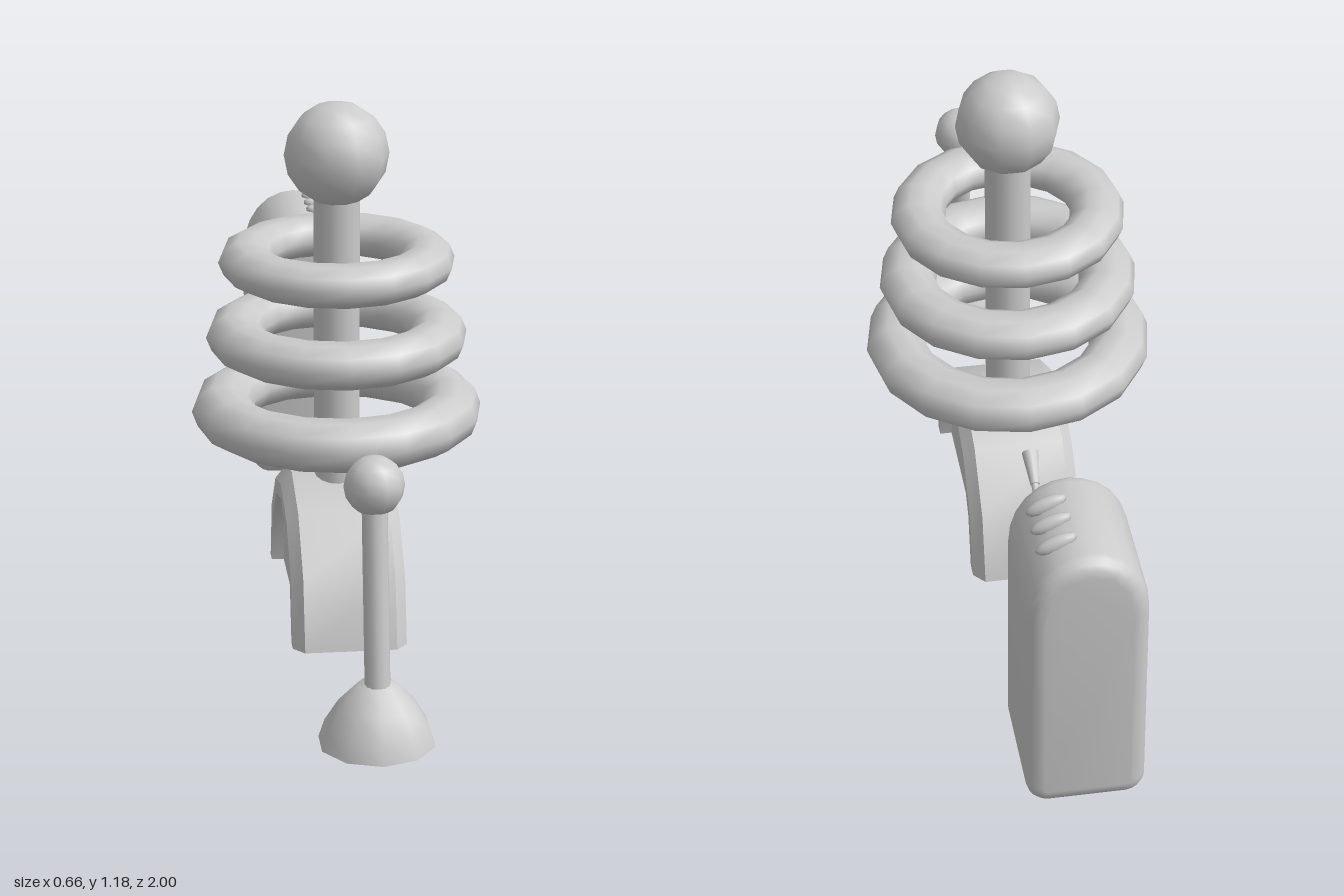
import * as THREE from 'three';
import { toCreasedNormals } from 'three/addons/utils/BufferGeometryUtils.js';

const grey = new THREE.MeshStandardMaterial({ color: 0xcccccc });
const greyOpen = new THREE.MeshStandardMaterial({ color: 0xcccccc, side: THREE.DoubleSide });
const V = (x, y, z) => new THREE.Vector3(x, y, z);

function add(parent, name, geometry, x = 0, y = 0, z = 0, material = grey) {
  const mesh = new THREE.Mesh(geometry, material);
  mesh.name = name;
  mesh.position.set(x, y, z);
  parent.add(mesh);
  return mesh;
}

// Straight rod between two points
function addRod(parent, name, a, b, rA, rB, sides) {
  const mesh = add(parent, name, new THREE.CylinderGeometry(rB, rA, a.distanceTo(b), sides));
  mesh.position.copy(a).lerp(b, 0.5);
  mesh.quaternion.setFromUnitVectors(V(0, 1, 0), b.clone().sub(a).normalize());
  return mesh;
}

const lathePoints = (pts) => pts.map(([r, y]) => new THREE.Vector2(r, y));

function makeTower() {
  const tower = new THREE.Group();
  tower.name = 'ringTower';
  tower.position.z = 0.075;

  // Hollow half-round base with a chamfered rim and recessed end panels
  const profile = lathePoints([
    [0, -0.1], [0.25, -0.1], [0.25, -0.128], [0.285, -0.128], [0.314, -0.103],
    [0.314, 0.103], [0.285, 0.128], [0.25, 0.128], [0.25, 0.1], [0, 0.1],
  ]);
  const arch = new THREE.LatheGeometry(profile, 6, 0, Math.PI);
  arch.rotateZ(Math.PI / 2);
  add(tower, 'archBase', toCreasedNormals(arch, 0.6), 0, 0.003, 0, greyOpen);

  add(tower, 'post', new THREE.CylinderGeometry(0.052, 0.052, 0.7, 16), 0, 0.65, 0);
  add(tower, 'topBall', new THREE.SphereGeometry(0.118, 10, 8), 0, 1.064, 0);

  // Stacked rings: height, centre radius, half width, half height
  [[0.47, 0.26, 0.069, 0.056], [0.645, 0.23, 0.065, 0.05], [0.82, 0.204, 0.062, 0.046]]
    .forEach(([y, radius, half, high]) => {
      const ring = new THREE.TorusGeometry(radius, half, 10, 16);
      ring.rotateX(Math.PI / 2);
      ring.scale(1, high / (half * Math.sin(Math.PI * 0.4)), 1);
      add(tower, 'ring', ring, 0, y, 0);
    });
  return tower;
}

function makeJoystick() {
  const stick = new THREE.Group();
  stick.name = 'joystick';
  const dome = lathePoints([[0.125, 0.01], [0.112, 0.05], [0.083, 0.097], [0.042, 0.14], [0, 0.152]]);
  add(stick, 'joystickDome', new THREE.LatheGeometry(dome, 10), 0, 0, 0.875, greyOpen);
  addRod(stick, 'joystickRod', V(0, 0.12, 0.885), V(0, 0.52, 0.817), 0.027, 0.027, 12);
  add(stick, 'joystickBall', new THREE.SphereGeometry(0.064, 10, 8), 0, 0.556, 0.81);
  return stick;
}

function makeBox() {
  const box = new THREE.Group();
  box.name = 'controlBox';

  // Body with an arched top; the bevel rounds the front and back edges
  const b = 0.035, w = 0.129 - b, bottom = 0.022 + b, top = 0.688 - b;
  const outline = new THREE.Shape();
  outline.moveTo(-w + 0.015, bottom);
  outline.lineTo(w - 0.015, bottom);
  outline.quadraticCurveTo(w, bottom, w, bottom + 0.015);
  outline.lineTo(w, 0.53);
  outline.bezierCurveTo(w, 0.61, 0.05, top, 0, top);
  outline.bezierCurveTo(-0.05, top, -w, 0.61, -w, 0.53);
  outline.lineTo(-w, bottom + 0.015);
  outline.quadraticCurveTo(-w, bottom, -w + 0.015, bottom);
  const body = new THREE.ExtrudeGeometry(outline, {
    depth: 0.305 - 2 * b, bevelThickness: b, bevelSize: b, bevelSegments: 4, curveSegments: 6,
  });
  add(box, 'boxBody', toCreasedNormals(body, 0.7), 0, 0, -1 + b);

  // Oval buttons lying on the sloping shoulder
  for (const z of [-0.91, -0.845, -0.785]) {
    const button = new THREE.SphereGeometry(1, 12, 8);
    button.scale(0.047, 0.018, 0.016);
    add(box, 'button', button, 0.058, 0.676, z).rotation.z = -0.4;
  }

  // Small lever on the front face
  addRod(box, 'leverRod', V(0.05, 0.53, -0.71), V(0.05, 0.592, -0.59), 0.008, 0.008, 8);
  addRod(box, 'leverGrip', V(0.05, 0.585, -0.604), V(0.05, 0.62, -0.538), 0.01, 0.018, 10);
  return box;
}

export function createModel() {
  const model = new THREE.Group();
  model.name = 'ringTowerMachine';
  model.add(makeTower(), makeJoystick(), makeBox());
  return model;
}
